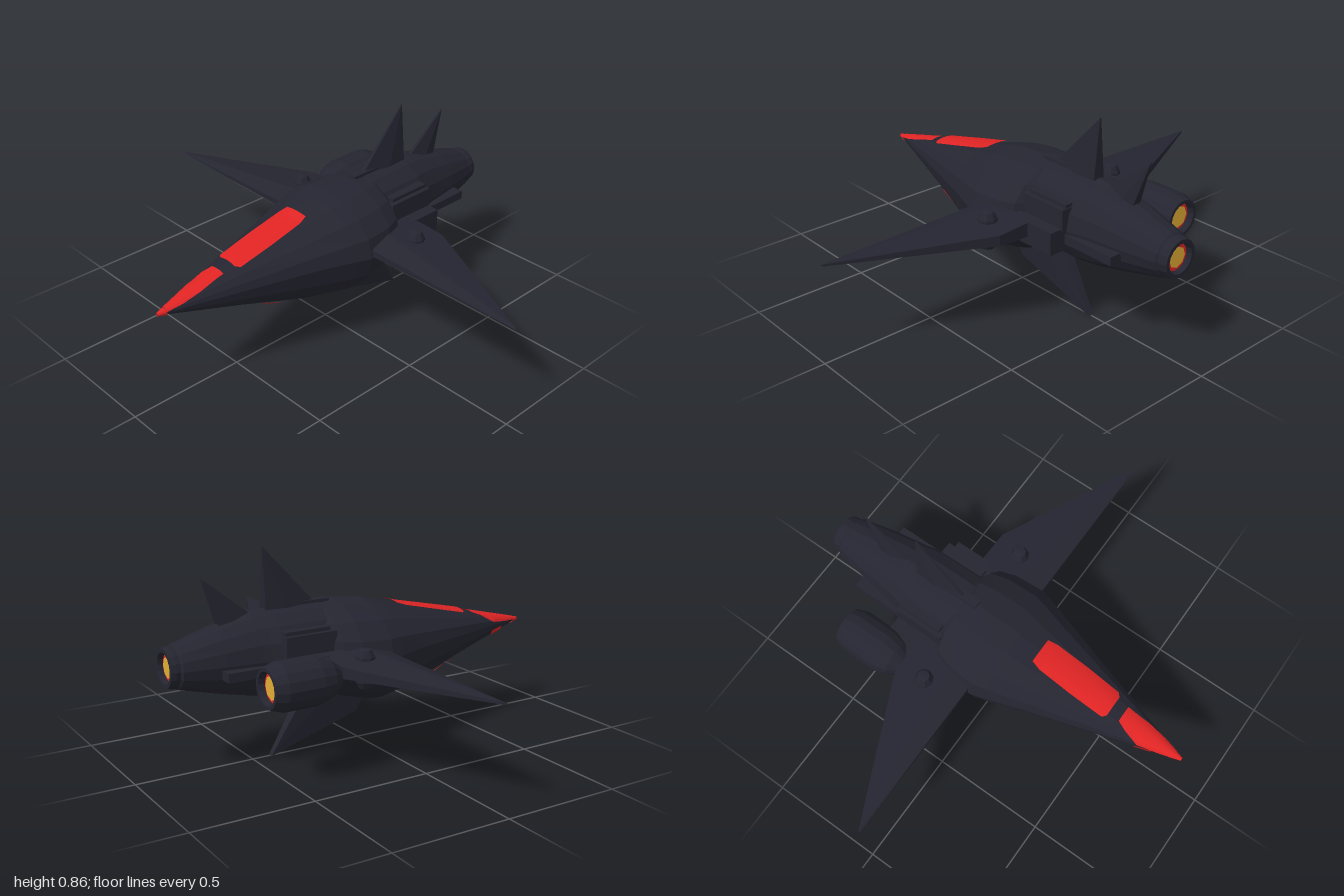
import * as THREE from 'three';
import { ConvexGeometry } from 'three/addons/geometries/ConvexGeometry.js';

const mat = (name, color, extra = {}) => {
  const m = new THREE.MeshStandardMaterial({ color, flatShading: true, ...extra });
  m.name = name;
  return m;
};

// Hull stations along x: [x, top y, middle y, bottom y, half width]
const HULL = [
  [-0.86, 0.413, 0.41, 0.407, 0.003], [-0.5, 0.5, 0.415, 0.3, 0.115],
  [-0.2, 0.565, 0.42, 0.203, 0.21], [-0.06, 0.605, 0.415, 0.18, 0.255],
  [0.0, 0.617, 0.41, 0.185, 0.272], [0.13, 0.626, 0.41, 0.22, 0.262],
  [0.2, 0.62, 0.42, 0.25, 0.235], [0.24, 0.6, 0.43, 0.29, 0.17], [0.241, 0.43, 0.43, 0.43, 0],
];
const BARREL = [
  [0.19, 0.445, 0.445, 0.445, 0], [0.191, 0.618, 0.445, 0.275, 0.16], [0.2, 0.624, 0.445, 0.268, 0.17],
  [0.43, 0.624, 0.445, 0.268, 0.165], [0.475, 0.62, 0.445, 0.272, 0.15], [0.51, 0.615, 0.445, 0.275, 0.142],
  [0.66, 0.58, 0.444, 0.31, 0.122], [0.82, 0.53, 0.442, 0.352, 0.092], [0.835, 0.515, 0.442, 0.37, 0.075],
  [0.836, 0.442, 0.442, 0.442, 0],
];

// Point on a lofted body; angle 0 is the top and grows towards +z
function surfacePoint(stations, x, a, off = 0) {
  let i = 0;
  while (i < stations.length - 2 && x > stations[i + 1][0]) i++;
  const A = stations[i], B = stations[i + 1];
  const t = (x - A[0]) / (B[0] - A[0]);
  const [, top, mid, bottom, w] = A.map((v, k) => v + (B[k] - v) * t);
  const c = Math.cos(a), s = Math.sin(a);
  return [x, mid + c * (c > 0 ? top - mid : mid - bottom) + c * off, w * s + s * off];
}

// Skin over rows of [x, start angle, end angle]
function skin(stations, rows, sides, off = 0) {
  const pos = [];
  for (let i = 0; i < rows.length - 1; i++) {
    for (let j = 0; j < sides; j++) {
      const p = (r, k) => surfacePoint(stations, r[0], r[1] + (r[2] - r[1]) * k / sides, off);
      const a = p(rows[i], j), b = p(rows[i], j + 1), c = p(rows[i + 1], j + 1), d = p(rows[i + 1], j);
      pos.push(...a, ...b, ...c, ...a, ...c, ...d);
    }
  }
  const g = new THREE.BufferGeometry();
  g.setAttribute('position', new THREE.Float32BufferAttribute(pos, 3));
  g.computeVertexNormals();
  return g;
}

const hullOf = (pts) => new ConvexGeometry(pts.map((p) => new THREE.Vector3(...p)));

export function createModel() {
  const root = new THREE.Group();
  root.name = 'starfighter';
  const dark = mat('charcoal hull', 0x252531);
  const red = mat('red trim', 0xe02424, { side: THREE.DoubleSide });
  const glow = mat('amber glow', 0xe2ad36);

  const add = (name, geo, material, x = 0, y = 0, z = 0, parent = root) => {
    const m = new THREE.Mesh(geo, material);
    m.name = name;
    m.position.set(x, y, z);
    parent.add(m);
    return m;
  };
  const box = (name, x0, x1, y0, y1, z0, z1) => add(name,
    new THREE.BoxGeometry(x1 - x0, y1 - y0, Math.abs(z1 - z0)), dark, (x0 + x1) / 2, (y0 + y1) / 2, (z0 + z1) / 2);

  // Main bodies
  const full = (st) => st.map((s) => [s[0], -Math.PI, Math.PI]);
  add('forwardHull', skin(HULL, full(HULL), 16), dark);
  add('engineBarrel', skin(BARREL, full(BARREL), 16), dark);

  // Red painted plates following the hull
  add('noseTip', skin(HULL, [[-0.86, -Math.PI, Math.PI], [-0.825, -Math.PI, Math.PI]], 16, 0.004), red);
  add('noseStripe', skin(HULL, [[-0.825, -1.5, 1.3], [-0.76, -1.4, 0.95], [-0.68, -1.25, 0.65],
    [-0.61, -0.6, 0.45], [-0.57, -0.35, 0.4]], 8, 0.005), red);
  add('canopy', skin(HULL, [[-0.52, -0.4, 0.4], [-0.505, -0.54, 0.54], [-0.35, -0.4, 0.4],
    [-0.2, -0.3, 0.3], [-0.16, -0.24, 0.24]], 8, 0.009), red);
  for (const s of [1, -1]) {
    add('bellyMark', skin(HULL, [[-0.43, s * 2.55 - 0.12, s * 2.55 + 0.12],
      [-0.34, s * 2.6 - 0.13, s * 2.6 + 0.13]], 4, 0.006), red);
  }
  add('cheekMark', skin(HULL, [[-0.74, -2.4, -1.85], [-0.67, -2.35, -1.9]], 4, 0.005), red);

  // Wings, wing pods and side fairings
  for (const s of [1, -1]) {
    const side = s > 0 ? 'left' : 'right';
    const Y = 0.428, pts = [[0.012, Y, s * 0.99], [0.02, Y + 0.004, s * 0.985], [0.02, Y - 0.004, s * 0.985]];
    for (const t of [1, -1]) {
      pts.push([0.012, Y + t * 0.016, s * 0.2], [0.12, Y + t * 0.043, s * 0.2], [0.3, Y + t * 0.032, s * 0.2],
        [0.3, Y + t * 0.022, s * 0.38], [0.12, Y + t * 0.032, s * 0.4]);
    }
    add(side + 'Wing', hullOf(pts), dark);
    const podProfile = [[0, -0.085], [0.028, -0.085], [0.04, -0.06], [0.04, 0.04], [0.026, 0.068], [0, 0.072]];
    add(side + 'WingPod', new THREE.LatheGeometry(podProfile.map((p) => new THREE.Vector2(...p)), 8),
      dark, 0.18, 0.428, s * 0.34);
    box(side + 'UpperFairing', 0.21, 0.435, 0.44, 0.54, s * 0.1, s * 0.185);
    box(side + 'UpperFairingRib', 0.23, 0.43, 0.53, 0.555, s * 0.08, s * 0.165);
    box(side + 'LowerFairing', 0.22, 0.43, 0.365, 0.46, s * 0.1, s * 0.24);
    box(side + 'TailRail', 0.42, 0.675, 0.395, 0.432, s * 0.1, s * 0.168);
  }
  box('spineRib', 0.15, 0.44, 0.6, 0.632, -0.02, 0.02);

  // Centreline fins from [x, y, half thickness] corners
  const fin = (name, corners) => add(name,
    hullOf(corners.flatMap(([x, y, h]) => [[x, y, h], [x, y, -h]])), dark);
  fin('frontDorsalFin', [[0.2, 0.61, 0.008], [0.34, 0.6, 0.034], [0.44, 0.6, 0.028], [0.44, 0.868, 0.003]]);
  fin('rearDorsalFin', [[0.49, 0.6, 0.008], [0.57, 0.57, 0.028], [0.635, 0.57, 0.02], [0.7, 0.768, 0.003]]);
  fin('ventralFin', [[-0.03, 0.2, 0.012], [0.015, 0.125, 0.012], [0.42, 0.003, 0.012],
    [0.25, 0.28, 0.028], [0.12, 0.26, 0.03]]);

  // Engines: revolved casing with a recessed, glowing exhaust
  const engine = (name, profile, x, y, z, floor, rRed, rGlow) => {
    const g = new THREE.Group();
    g.name = name;
    g.position.set(x, y, z);
    root.add(g);
    const c = add('casing', new THREE.LatheGeometry(profile.map((p) => new THREE.Vector2(...p)), 16), dark, 0, 0, 0, g);
    c.rotation.z = -Math.PI / 2;
    add('exhaustRing', new THREE.CircleGeometry(rRed, 16), red, floor + 0.003, 0, 0, g).rotation.y = Math.PI / 2;
    add('exhaustGlow', new THREE.CircleGeometry(rGlow, 8), glow, floor + 0.008, 0, 0, g).rotation.y = Math.PI / 2;
  };
  engine('mainNozzle', [[0, 0], [0.083, 0], [0.083, 0.02], [0.078, 0.04], [0.062, 0.04], [0.056, 0.015], [0, 0.015]],
    0.825, 0.442, 0, 0.015, 0.056, 0.043);
  engine('sideEngine', [[0, 0], [0.05, 0], [0.08, 0.04], [0.097, 0.1], [0.097, 0.25], [0.08, 0.3],
    [0.066, 0.3], [0.06, 0.27], [0, 0.27]], 0.3, 0.402, -0.322, 0.27, 0.06, 0.048);
  box('sideEnginePylon', 0.28, 0.43, 0.375, 0.45, -0.14, -0.3);

  return root;
}
